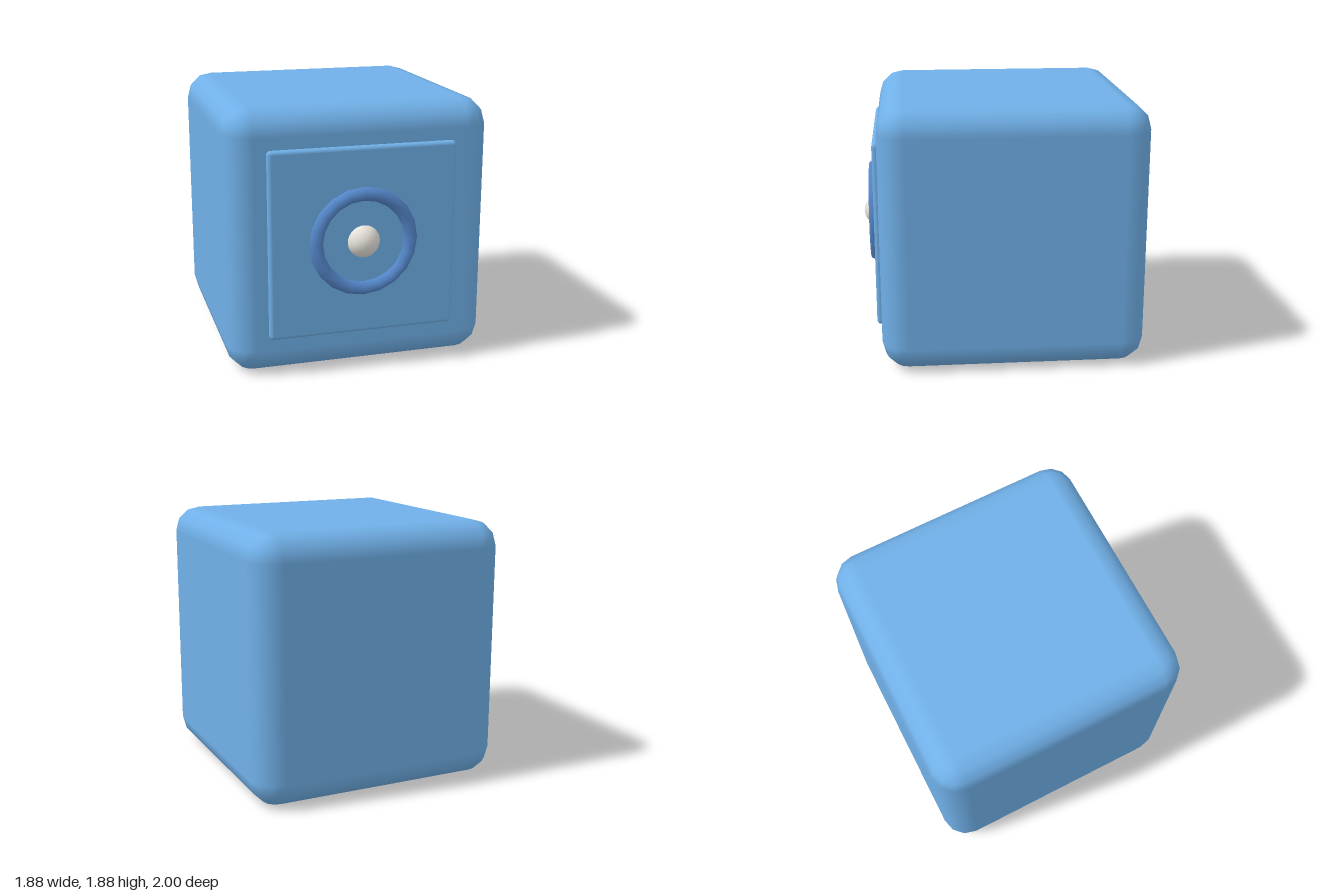
import * as THREE from 'three';

// Box with rounded edges: sphere rings pushed apart to the eight corners
function roundedBox(w, h, d, r, steps) {
  const pos = [], nor = [], idx = [];
  const cols = 4 * (steps + 1), rows = 2 * (steps + 1);
  const ax = w / 2 - r, ay = h / 2 - r, az = d / 2 - r;
  for (let i = 0; i < rows; i++) {
    const upper = i <= steps;
    const phi = (upper ? i : i - 1) / steps * Math.PI / 2;
    for (let j = 0; j < cols; j++) {
      const q = Math.floor(j / (steps + 1));
      const t = (q + (j % (steps + 1)) / steps) * Math.PI / 2;
      const n = [Math.sin(phi) * Math.sin(t), Math.cos(phi), Math.sin(phi) * Math.cos(t)];
      nor.push(...n);
      pos.push(n[0] * r + (q < 2 ? ax : -ax), n[1] * r + (upper ? ay : -ay),
        n[2] * r + (q === 0 || q === 3 ? az : -az));
    }
  }
  for (let i = 0; i < rows - 1; i++) {
    for (let j = 0; j < cols; j++) {
      const k = (j + 1) % cols;
      const a = i * cols + j, b = i * cols + k, c = a + cols, e = b + cols;
      idx.push(a, c, b, b, c, e);
    }
  }
  // flat top and bottom between the four corner points
  const s = steps + 1, last = (rows - 1) * cols;
  idx.push(0, s, 2 * s, 0, 2 * s, 3 * s);
  idx.push(last, last + 2 * s, last + s, last, last + 3 * s, last + 2 * s);
  const g = new THREE.BufferGeometry();
  g.setAttribute('position', new THREE.Float32BufferAttribute(pos, 3));
  g.setAttribute('normal', new THREE.Float32BufferAttribute(nor, 3));
  g.setIndex(idx);
  return g;
}

export function createModel() {
  const group = new THREE.Group();
  const blue = new THREE.MeshStandardMaterial({ color: 0x70b0e8 });
  const darkBlue = new THREE.MeshStandardMaterial({ color: 0x5588cc });
  const white = new THREE.MeshStandardMaterial({ color: 0xe8e4dc });
  const midY = 0.9375;

  const add = (name, geometry, material, z) => {
    const mesh = new THREE.Mesh(geometry, material);
    mesh.name = name;
    mesh.position.set(0, midY, z);
    group.add(mesh);
  };

  // Rounded cube body
  add('body', roundedBox(1.875, 1.875, 1.875, 0.1875, 3), blue, -0.0625);
  // Thin raised plate on the front
  add('frontPanel', roundedBox(1.33, 1.33, 0.07, 0.028, 3), blue, 0.875);
  // Ring and round knob in the middle of the plate
  const ring = new THREE.TorusGeometry(0.3375, 0.0485, 6, 20);
  add('ring', ring, darkBlue, 0.912);
  add('knob', new THREE.SphereGeometry(0.118, 24, 16), white, 0.882);

  return group;
}
